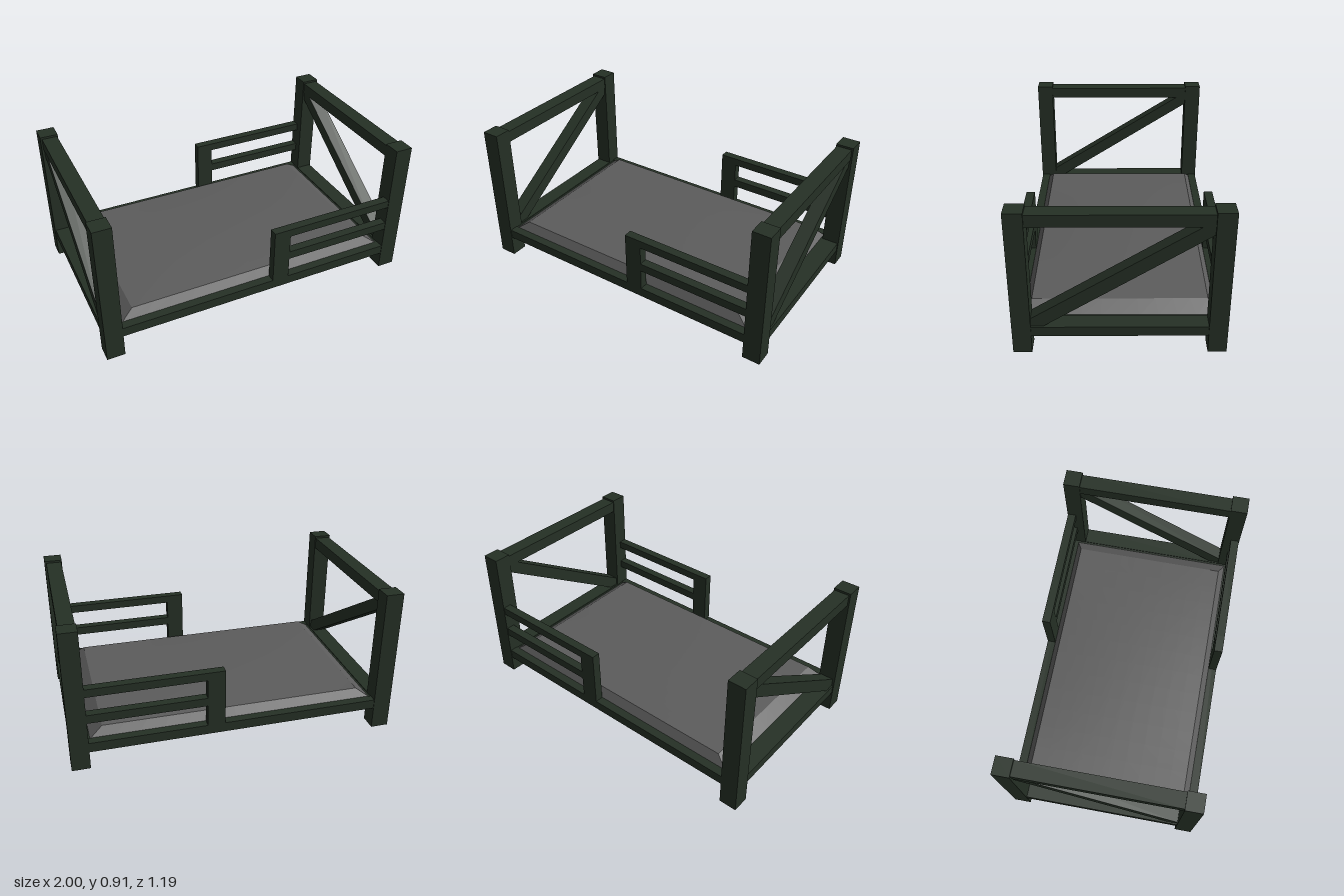
import * as THREE from 'three';
import { toCreasedNormals } from 'three/addons/utils/BufferGeometryUtils.js';

export function createModel() {
  const bed = new THREE.Group();
  bed.name = 'bed';
  const wood = new THREE.MeshStandardMaterial({ color: 0x253025 });
  wood.name = 'dark green wood';
  const fabric = new THREE.MeshStandardMaterial({ color: 0x5c5c5c });
  fabric.name = 'grey fabric';

  const add = (name, geometry, material = wood) => {
    const mesh = new THREE.Mesh(geometry, material);
    mesh.name = name;
    bed.add(mesh);
  };
  // Box given by its lower and upper limits on each axis
  const bar = (name, [x0, x1], [y0, y1], [z0, z1]) => {
    const g = new THREE.BoxGeometry(Math.abs(x1 - x0), y1 - y0, Math.abs(z1 - z0));
    add(name, g.translate((x0 + x1) / 2, (y0 + y1) / 2, (z0 + z1) / 2));
  };

  // Bed ends: two posts, top rail, bottom rail and a diagonal brace
  for (const s of [-1, 1]) {
    const foot = s > 0 ? 0.03 : 0;
    for (const f of [-1, 1]) {
      bar('cornerPost', [s * 0.89, s], [foot, 0.913], [f * 0.488, f * 0.593]);
    }
    bar('endTopRail', [s * 0.895, s * 0.99], [0.828, 0.9], [-0.49, 0.49]);
    bar('endBottomRail', [s * 0.89, s * 0.995], [0.14, 0.2], [-0.49, 0.49]);

    // Outline drawn with shape x = -z, so a quarter turn puts it in the end plane
    const outline = [[-0.49, 0.2], [-0.42, 0.2], [0.49, 0.78], [0.49, 0.83], [0.43, 0.83], [-0.49, 0.25]];
    const shape = new THREE.Shape(outline.map(([x, y]) => new THREE.Vector2(x, y)));
    const brace = new THREE.ExtrudeGeometry(shape, { depth: 0.085, bevelEnabled: false });
    brace.translate(0, 0, -0.0425).rotateY(Math.PI / 2).translate(s * 0.943, 0, 0);
    add('diagonalBrace', brace);
  }

  // Long sides: bottom rail and a guard over half the length
  for (const f of [-1, 1]) {
    const z = [f * 0.537, f * 0.59];
    bar('sideRail', [-0.89, 0.89], [0.14, 0.2], z);
    bar('guardPost', [0.08, 0.187], [0.2, 0.555], z);
    bar('guardTopRail', [0.187, 0.895], [0.505, 0.555], z);
    bar('guardMiddleRail', [0.187, 0.895], [0.335, 0.388], z);
  }
  bar('basePanel', [-0.89, 0.89], [0.14, 0.195], [-0.537, 0.537]);

  // Mattress: sloping sides and a slightly domed top
  const mattress = new THREE.BoxGeometry(1.77, 0.06, 1.085, 12, 1, 10);
  const p = mattress.attributes.position;
  for (let i = 0; i < p.count; i++) {
    if (p.getY(i) < 0) continue;
    const u = p.getX(i) / 0.885, v = p.getZ(i) / 0.5425;
    const dome = 0.016 * (1 - u * u) * (1 - v * v);
    p.setXYZ(i, u * 0.8, 0.03 + dome, v * 0.5);
  }
  mattress.translate(0, 0.22, 0);
  add('mattress', toCreasedNormals(mattress, 0.4), fabric);

  return bed;
}
